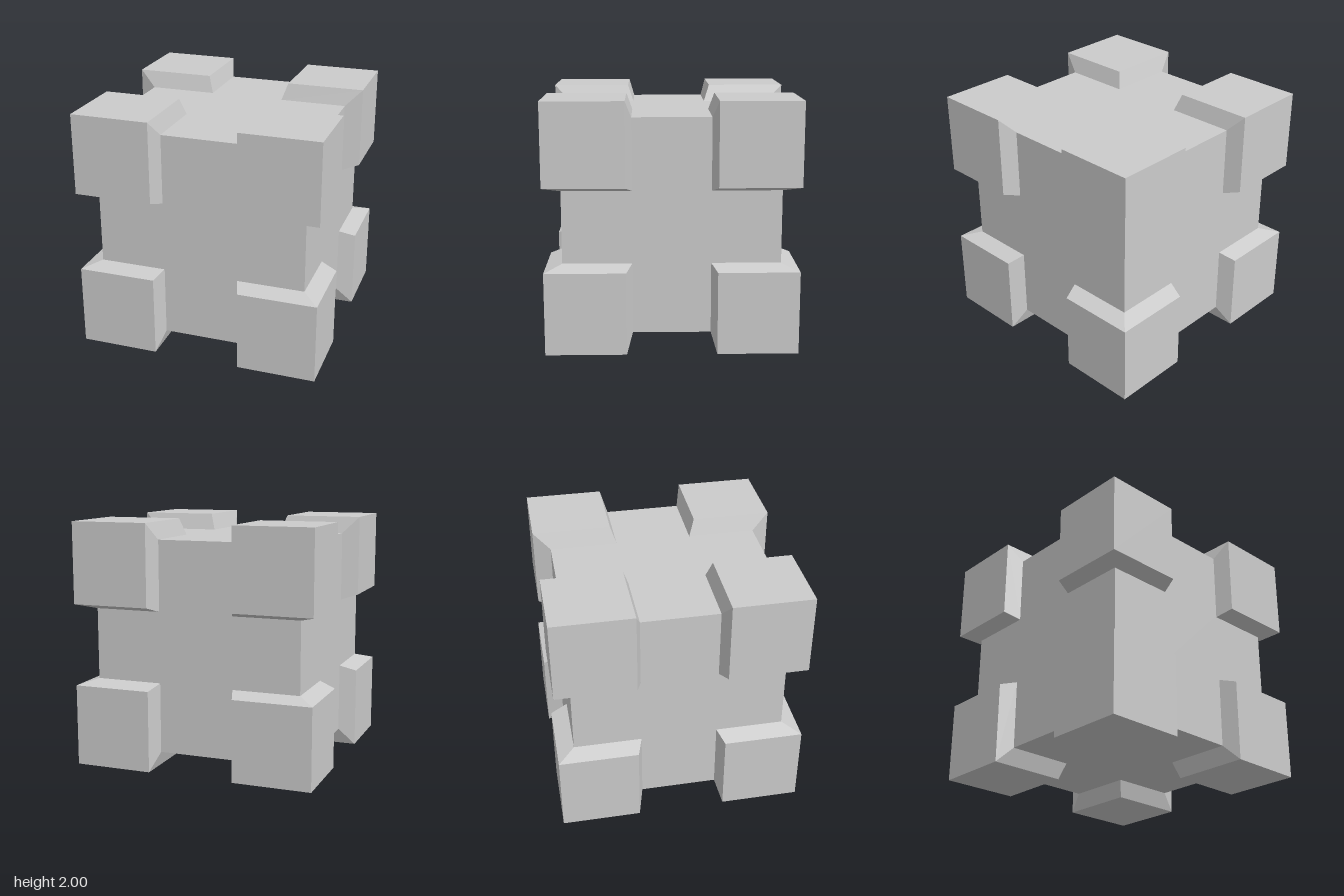
import * as THREE from 'three';
import { ConvexGeometry } from 'three/addons/geometries/ConvexGeometry.js';

const CORE = 0.863;                 // half size of the core cube
const TOP = [0.357, 0.335, 0.357];  // inner limits of a corner block at its outer faces
const BASE = [0.311, 0.291, 0.311]; // inner limits where it flares out to meet the core

// Convex corner block: outer box corners plus the flared foot lying on the core's faces
function cornerBlock(signs) {
  const points = [];
  for (let bits = 0; bits < 7; bits++) {
    const outer = [0, 1, 2].map((axis) => !(bits & (1 << axis)));
    for (const [limit, inner] of [[1, TOP], [CORE, BASE]]) {
      points.push(new THREE.Vector3(
        ...outer.map((o, axis) => signs[axis] * (o ? limit : inner[axis]))));
    }
  }
  return new ConvexGeometry(points);
}

export function createModel() {
  const model = new THREE.Group();
  model.name = 'studdedCube';
  const material = new THREE.MeshStandardMaterial({ color: 0xcccccc, flatShading: true });

  // Central cube
  const core = new THREE.Mesh(new THREE.BoxGeometry(2 * CORE, 2 * CORE, 2 * CORE), material);
  core.name = 'core';
  core.position.y = 1;
  model.add(core);

  // Eight corner blocks
  for (const x of [-1, 1]) for (const y of [-1, 1]) for (const z of [-1, 1]) {
    const block = new THREE.Mesh(cornerBlock([x, y, z]), material);
    block.name = `cornerBlock${y > 0 ? 'Top' : 'Bottom'}${z > 0 ? 'Front' : 'Back'}${x > 0 ? 'Left' : 'Right'}`;
    block.position.y = 1;
    model.add(block);
  }
  return model;
}
